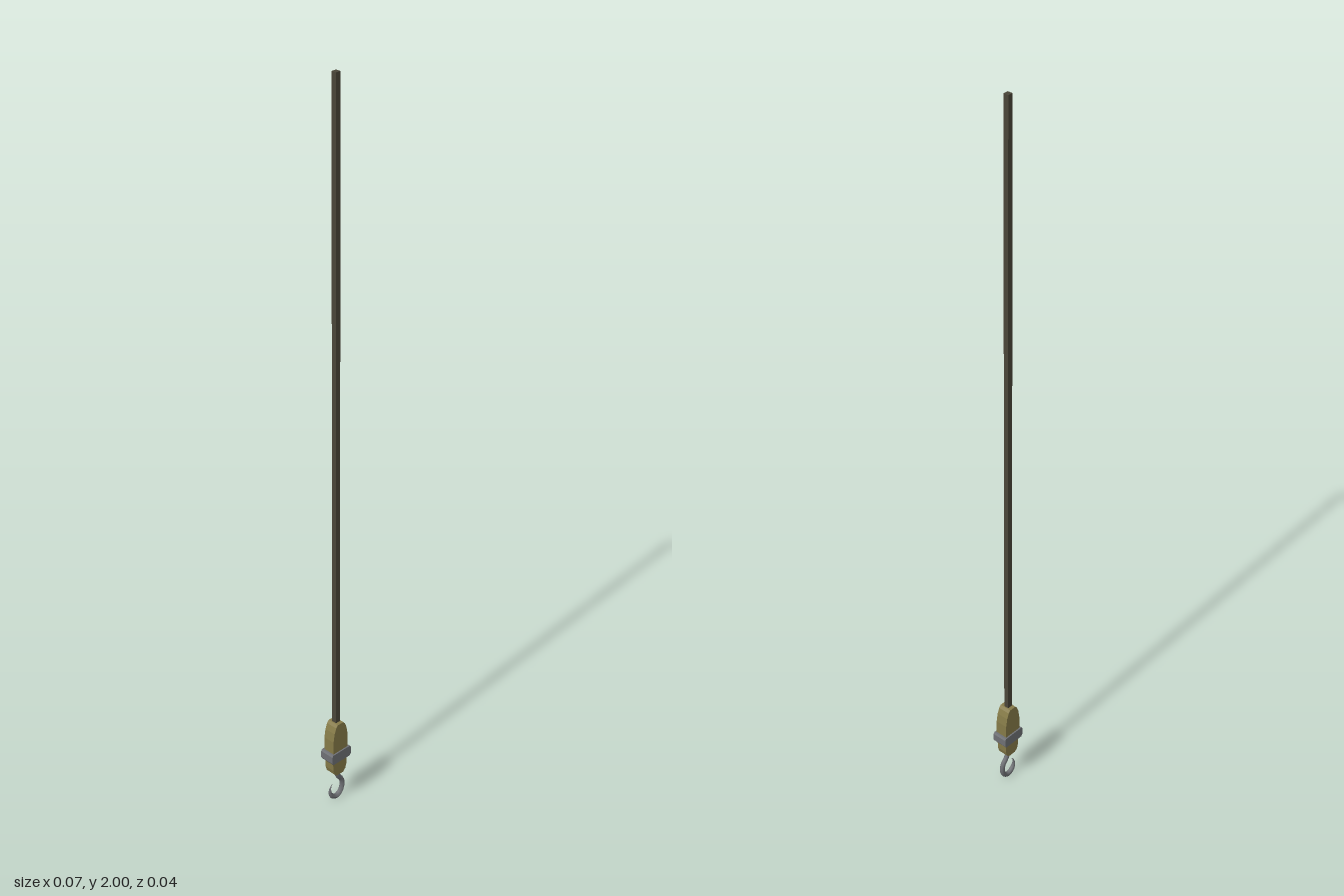
import * as THREE from 'three';

export function createModel() {
  const model = new THREE.Group();
  const material = (name, color) => {
    const m = new THREE.MeshStandardMaterial({ color });
    m.name = name;
    return m;
  };
  const cableMat = material('dark cable', 0x4a4538);
  const blockMat = material('olive paint', 0x857a48);
  const steelMat = material('grey steel', 0x6e7074);
  const add = (name, geometry, mat) => {
    const mesh = new THREE.Mesh(geometry, mat);
    mesh.name = name;
    model.add(mesh);
    return mesh;
  };

  // Mirrored half outline [half width, y], extruded symmetrically in z
  const slab = (half, depth) => {
    const right = half.map(([x, y]) => new THREE.Vector2(x, y));
    const left = half.map(([x, y]) => new THREE.Vector2(-x, y)).reverse();
    const g = new THREE.ExtrudeGeometry(new THREE.Shape([...right, ...left]), {
      depth, bevelEnabled: false,
    });
    return g.translate(0, 0, -depth / 2);
  };

  // Square cable
  add('cable', new THREE.BoxGeometry(0.014, 1.76, 0.014).translate(0, 1.12, 0), cableMat);

  // Pulley block with rounded shoulders, and its narrower lower half
  add('upperBlock', slab([
    [0.026, 0.15], [0.026, 0.205], [0.022, 0.23], [0.016, 0.246], [0.01, 0.253],
  ], 0.034), blockMat);
  add('lowerBlock', slab([
    [0.012, 0.088], [0.02, 0.096], [0.024, 0.11], [0.026, 0.15],
  ], 0.029), blockMat);

  // Steel collar with chamfered ends
  add('collar', slab([
    [0.03, 0.136], [0.034, 0.142], [0.034, 0.162], [0.031, 0.167],
  ], 0.042), steelMat);

  // Hook, tapering toward its open tip
  const path = new THREE.CatmullRomCurve3([
    [0.002, 0.1], [0.002, 0.08], [0.009, 0.067], [0.02, 0.052], [0.022, 0.03],
    [0.013, 0.012], [0, 0.0065], [-0.013, 0.012], [-0.022, 0.027], [-0.021, 0.043], [-0.014, 0.053],
  ].map(([x, y]) => new THREE.Vector3(x, y, 0)));
  const segments = 28, sides = 8;
  const hook = new THREE.TubeGeometry(path, segments, 0.0068, sides, false);
  const pos = hook.attributes.position, v = new THREE.Vector3();
  for (let i = 0; i <= segments; i++) {
    const t = i / segments, centre = path.getPointAt(t);
    const size = t < 0.75 ? 1 : 1 - (t - 0.75) * 3.9;
    for (let j = 0; j <= sides; j++) {
      const k = i * (sides + 1) + j;
      v.fromBufferAttribute(pos, k).sub(centre).multiplyScalar(size).add(centre);
      pos.setXYZ(k, v.x, v.y, v.z);
    }
  }
  hook.computeVertexNormals();
  add('hook', hook, steelMat);

  return model;
}
